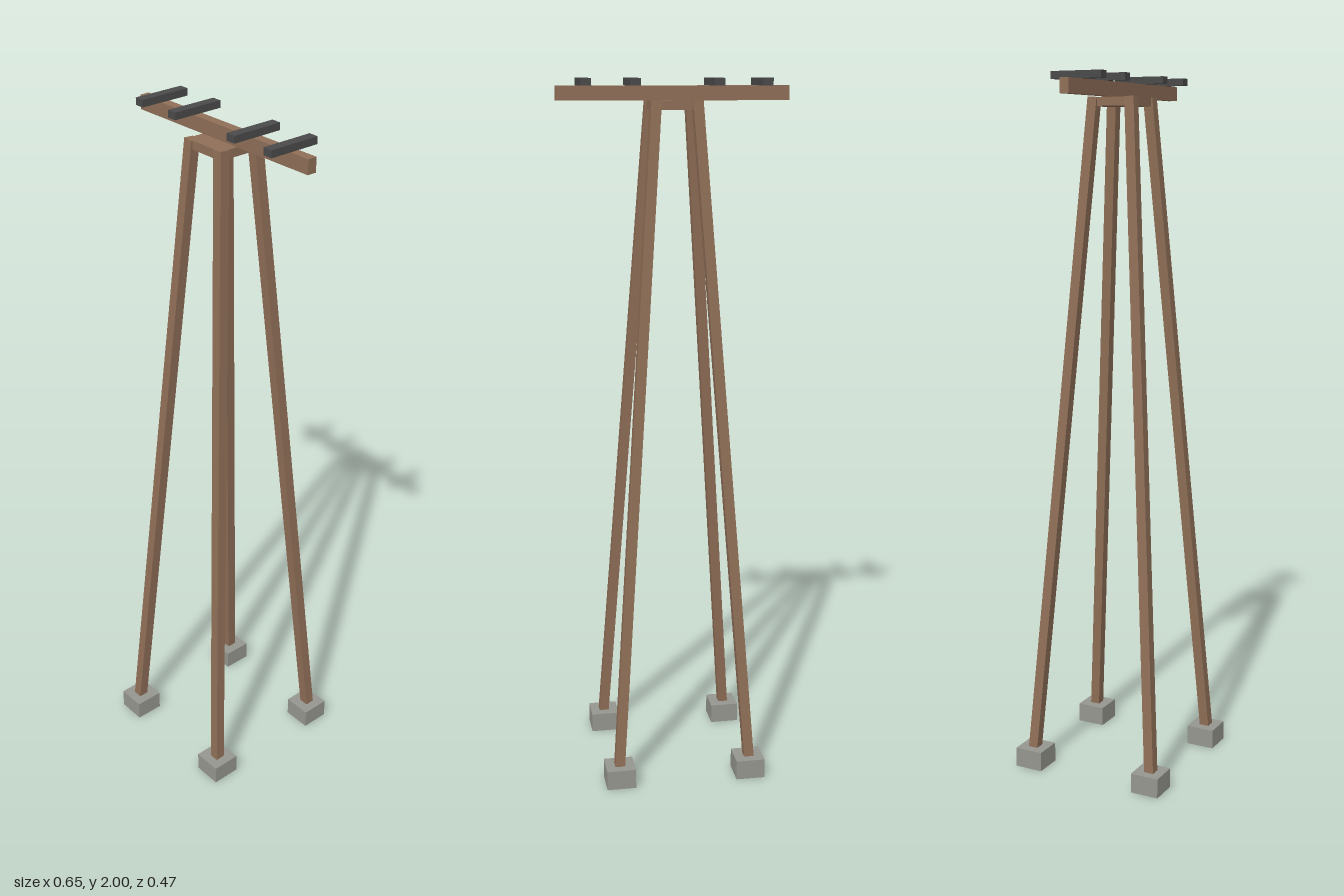
import * as THREE from 'three';

const wood = new THREE.MeshStandardMaterial({ color: 0x8f6f57 });
const concrete = new THREE.MeshStandardMaterial({ color: 0x96968f });
const iron = new THREE.MeshStandardMaterial({ color: 0x4a4a4a });

function box(name, material, size, position) {
  const mesh = new THREE.Mesh(new THREE.BoxGeometry(...size), material);
  mesh.name = name;
  mesh.position.set(...position);
  return mesh;
}

// Square post running from one point to another
function post(name, material, width, from, to) {
  const direction = to.clone().sub(from);
  const middle = from.clone().add(to).multiplyScalar(0.5);
  const mesh = box(name, material, [width, direction.length(), width], middle.toArray());
  mesh.quaternion.setFromUnitVectors(new THREE.Vector3(0, 1, 0), direction.normalize());
  return mesh;
}

export function createModel() {
  const model = new THREE.Group();
  model.name = 'tower';

  // Four splayed legs, each standing in a footing block
  for (const sx of [-1, 1]) {
    for (const sz of [-1, 1]) {
      const side = (sz > 0 ? 'front' : 'back') + (sx > 0 ? 'Left' : 'Right');
      model.add(box(side + 'Footing', concrete, [0.084, 0.057, 0.084], [sx * 0.191, 0.0285, sz * 0.191]));
      model.add(post(side + 'Leg', wood, 0.0285,
        new THREE.Vector3(sx * 0.1925, 0.045, sz * 0.1925),
        new THREE.Vector3(sx * 0.057, 1.94, sz * 0.057)));
    }
  }

  // Platform joining the leg tops, with the long beam across it
  model.add(box('platform', wood, [0.134, 0.024, 0.134], [0, 1.928, 0]));
  model.add(box('beam', wood, [0.648, 0.04, 0.027], [0, 1.96, 0]));

  // Short crossbars resting on the beam
  for (const x of [-0.249, -0.115, 0.114, 0.248]) {
    model.add(box('crossbar', iron, [0.0285, 0.02, 0.152], [x, 1.99, 0]));
  }
  return model;
}
